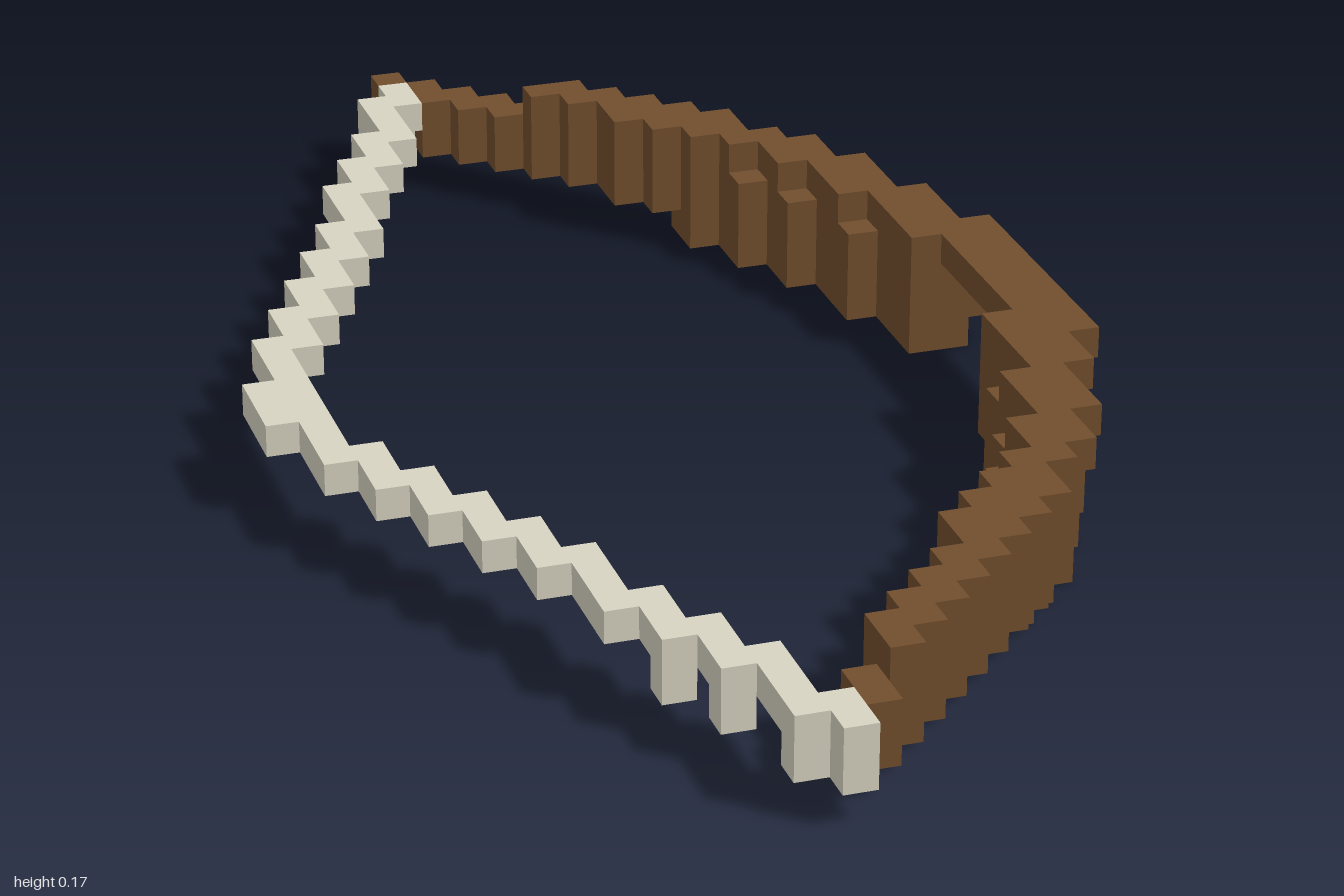
import * as THREE from 'three';
import { mergeGeometries } from 'three/addons/utils/BufferGeometryUtils.js';

const U = 1 / 24; // one block

// Box spanning inclusive layers y and rows z in block column x
function block(x, y0, y1, z0, z1) {
  const g = new THREE.BoxGeometry(U, (y1 - y0 + 1) * U, (z1 - z0 + 1) * U);
  return g.translate((x - 12) * U, ((y0 + y1 + 1) / 2) * U, ((z0 + z1 + 1) / 2) * U - 1);
}

function part(name, boxes, material) {
  const mesh = new THREE.Mesh(mergeGeometries(boxes), material);
  mesh.name = name;
  return mesh;
}

export function createModel() {
  const wood = new THREE.MeshStandardMaterial({ color: 0x724f2e });
  wood.name = 'brown wood';
  const cord = new THREE.MeshStandardMaterial({ color: 0xd8d4c2 });
  cord.name = 'pale cord';
  const model = new THREE.Group();
  model.name = 'bow';

  // Rows filled by the back half of each limb column, from column 11 outwards
  const limbRows = [[1, 2], [2, 3], [3, 4], [4, 5], [5, 6], [6, 8], [7, 9], [8, 10],
    [9, 12], [11, 14], [12, 17], [14, 21], [17, 23], [20, 23]];
  const bottom = [], middle = [], top = [];
  const clipped = (list, x, y0, y1, a, b, lo, hi) => {
    const z0 = Math.max(a, lo), z1 = Math.min(b, hi);
    if (z0 <= z1) list.push(block(x, y0, y1, z0, z1));
  };
  limbRows.forEach(([a, b], n) => {
    const x = 11 + n;
    // The spine overhangs the lower layers by one row on the outside
    const low = x === 19 || (x >= 21 && x <= 23) ? a + 1 : a;
    const spineEnd = x >= 19 && x <= 22 ? b - 1 : b;
    // Main limb, open at the grip
    clipped(middle, x, 1, 2, low, b, 0, 20);
    clipped(middle, x, 1, 2, 47 - b, 47 - low, 27, 47);
    // Raised spine and grip bridge
    if (x >= 12) {
      clipped(top, x, 3, 3, a, spineEnd, 5, 45);
      clipped(top, x, 3, 3, 47 - spineEnd, x === 24 ? 28 : 47 - a, 5, 45);
    }
    // Lower reinforcements on both sides of the grip
    if (x >= 18 && x <= 23) {
      clipped(bottom, x, 0, 0, low, b, 9, 20);
      clipped(bottom, x, 0, 0, 47 - b, 47 - low, 27, 38);
    }
  });
  middle.push(block(10, 1, 2, 0, 0)); // back tip
  model.add(part('limbs', middle, wood), part('spineAndGrip', top, wood),
    part('limbReinforcements', bottom, wood));

  // Stepped string: rows of the back half, columns 1 to 10
  const stringRows = [[20, 23], [18, 20], [16, 18], [14, 16], [12, 14], [9, 12],
    [7, 9], [5, 7], [2, 5], [1, 2]];
  const string = [block(0, 2, 2, 23, 25), block(1, 2, 2, 24, 24)];
  const knots = [];
  stringRows.forEach(([a, b], n) => {
    const x = n + 1;
    string.push(block(x, 2, 2, a, b), block(x, 2, 2, 48 - b, 48 - a));
    // Small knots below the string near its ends
    if (x >= 7) knots.push(block(x, 1, 1, a, a), block(x, 1, 1, 48 - a, 48 - a));
  });
  model.add(part('string', string, cord), part('stringKnots', knots, cord));
  return model;
}
